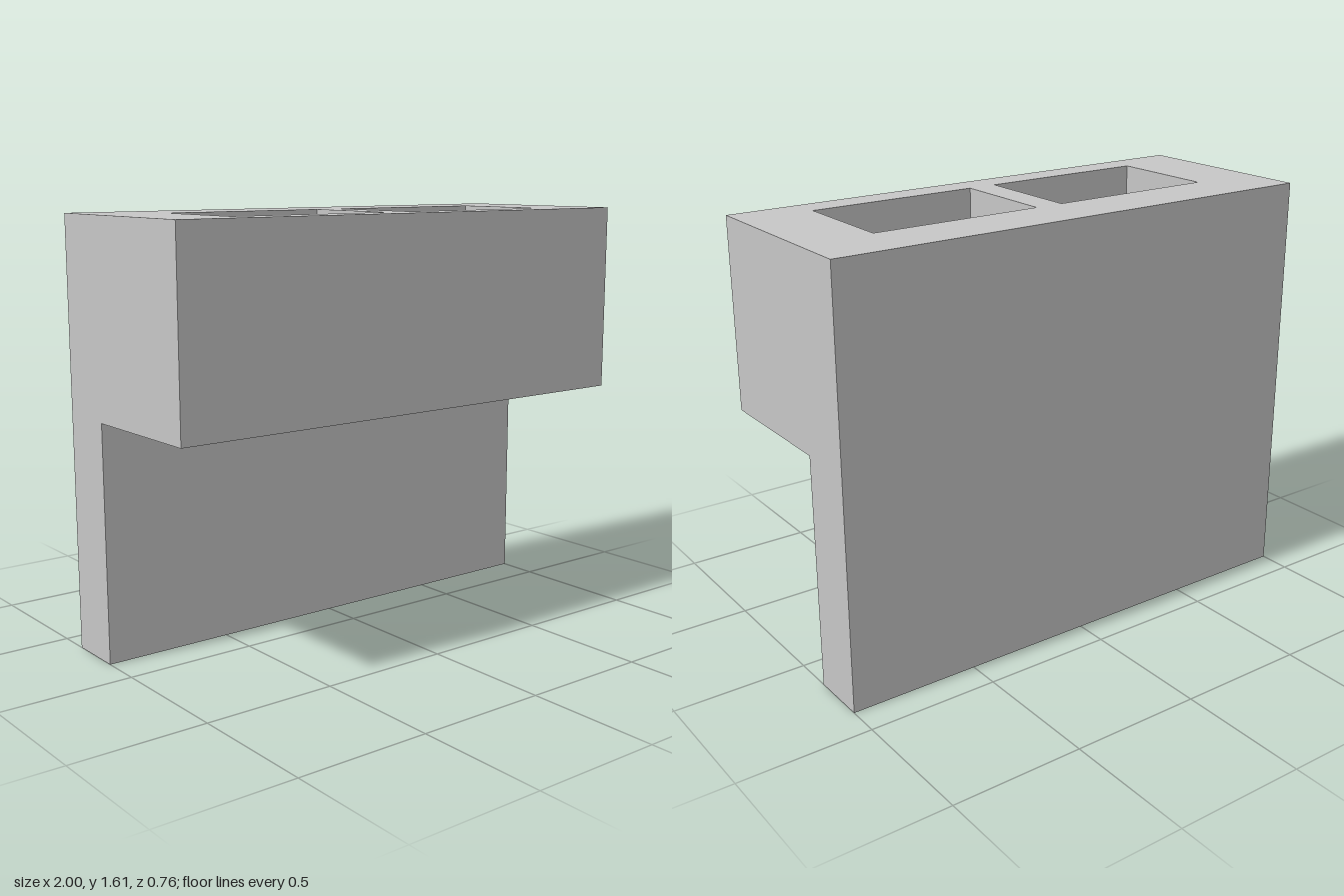
import * as THREE from 'three';

// All sizes are multiples of one wall thickness
const U = 1 / 9;
const TOP = 14.5 * U, LEDGE = 8 * U, FLOOR = 9 * U;
const BACK = -3.4 * U, FRONT = 3.4 * U, SLAB_FRONT = -1.4 * U;

// Removes the triangles lying in the top plane, leaving the shell open there
function openTop(source) {
  const geometry = source.index ? source.toNonIndexed() : source;
  const p = geometry.attributes.position;
  const kept = [];
  for (let i = 0; i < p.count; i += 3) {
    const flat = [0, 1, 2].every((k) => Math.abs(p.getY(i + k) - TOP) < 1e-4);
    if (flat) continue;
    for (let k = 0; k < 3; k++) kept.push(p.getX(i + k), p.getY(i + k), p.getZ(i + k));
  }
  const result = new THREE.BufferGeometry();
  result.setAttribute('position', new THREE.Float32BufferAttribute(kept, 3));
  result.computeVertexNormals();
  return result;
}

function rectangle(PathType, x0, y0, x1, y1) {
  return new PathType([[x0, y0], [x1, y0], [x1, y1], [x0, y1]].map(([x, y]) => new THREE.Vector2(x, y)));
}

export function createModel() {
  const group = new THREE.Group();
  const concrete = new THREE.MeshStandardMaterial({ color: 0xc6c6c6 });
  concrete.name = 'light concrete grey';

  const add = (name, geometry) => {
    const mesh = new THREE.Mesh(geometry, concrete);
    mesh.name = name;
    group.add(mesh);
  };

  // Body: stepped side profile (z, y) swept across the width
  const profile = new THREE.Shape([
    [BACK, 0], [SLAB_FRONT, 0], [SLAB_FRONT, LEDGE],
    [FRONT, LEDGE], [FRONT, TOP], [BACK, TOP],
  ].map(([z, y]) => new THREE.Vector2(z, y)));
  const body = new THREE.ExtrudeGeometry(profile, { depth: 2, bevelEnabled: false });
  body.rotateY(-Math.PI / 2).translate(1, 0, 0);
  add('body', openTop(body));

  // Rim with two pocket openings, and the pocket linings below it
  const rim = rectangle(THREE.Shape, -1, -FRONT, 1, -BACK);
  const zBack = SLAB_FRONT, zFront = FRONT - U, width = 6 * U;
  for (const [name, x] of [['rightPocket', -3.5 * U], ['leftPocket', 3.5 * U]]) {
    rim.holes.push(rectangle(THREE.Path, x - width / 2, -zFront, x + width / 2, -zBack));
    const lining = new THREE.BoxGeometry(width, TOP - FLOOR, zFront - zBack);
    lining.scale(-1, 1, 1); // mirrored so the faces look inward
    lining.translate(x, (TOP + FLOOR) / 2, (zFront + zBack) / 2);
    add(name, openTop(lining));
  }
  add('topRim', new THREE.ShapeGeometry(rim).rotateX(-Math.PI / 2).translate(0, TOP, 0));

  return group;
}
